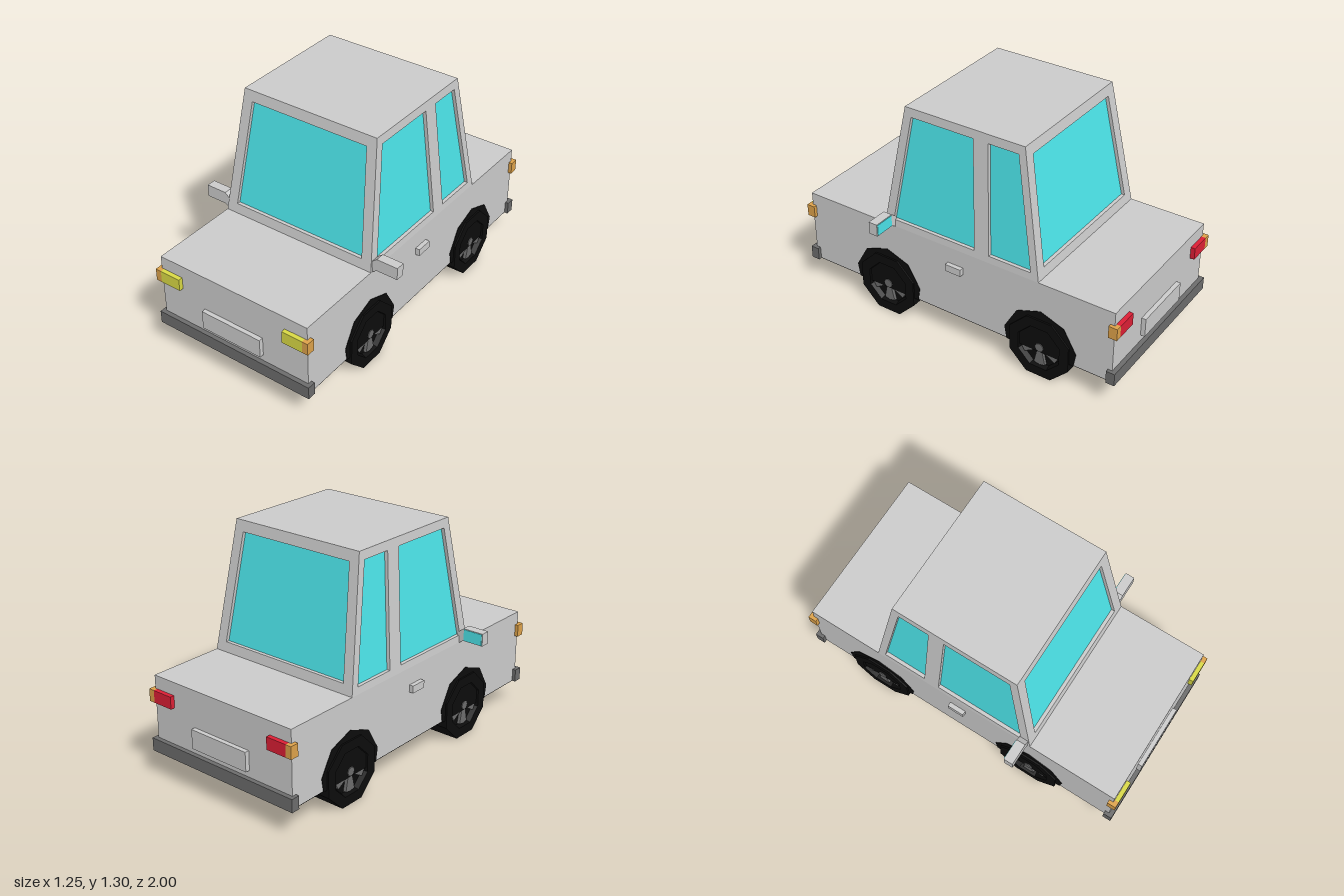
import * as THREE from 'three';

const mat = (color) => new THREE.MeshStandardMaterial({ color, flatShading: true, side: THREE.DoubleSide });

export function createModel() {
  const car = new THREE.Group();
  car.name = 'car';
  const grey = mat(0xcccccc), dark = mat(0x6c6c6c), black = mat(0x0c0c0c);
  const glass = mat(0x4ce4e9), yellow = mat(0xd9d945), orange = mat(0xdda24a), red = mat(0xdc1f35);

  const add = (name, geometry, material, parent = car) => {
    const mesh = new THREE.Mesh(geometry, material);
    mesh.name = name;
    parent.add(mesh);
    return mesh;
  };
  // Box given by its extents on each axis
  const box = (name, [x0, x1], [y0, y1], [z0, z1], material, parent) => {
    const g = new THREE.BoxGeometry(Math.abs(x1 - x0), y1 - y0, Math.abs(z1 - z0));
    g.translate((x0 + x1) / 2, (y0 + y1) / 2, (z0 + z1) / 2);
    return add(name, g, material, parent);
  };
  const polygon = (pts) => new THREE.Shape(pts.map(([x, y]) => new THREE.Vector2(x, y)));

  // Lower body
  box('body', [-0.475, 0.475], [0.155, 0.585], [-0.975, 0.975], grey);
  box('underside', [-0.473, 0.473], [0.15, 0.156], [-0.973, 0.973], black);

  // Cabin: four leaning panels with window openings and recessed glass
  const Y0 = 0.585, Y1 = 1.3;
  const panel = (name, outline, windows, base, top, turn) => {
    const lean = (g, offset) => {
      const p = g.attributes.position;
      for (let i = 0; i < p.count; i++) {
        const t = (p.getY(i) - Y0) / (Y1 - Y0);
        p.setZ(i, p.getZ(i) + THREE.MathUtils.lerp(base, top, t) - offset);
      }
      g.computeVertexNormals();
      return g.rotateY(turn);
    };
    const shape = polygon(outline);
    shape.holes = windows.map(polygon);
    add(name + 'Frame', lean(new THREE.ExtrudeGeometry(shape, { depth: 0.03, bevelEnabled: false }), 0.03), grey);
    windows.forEach((w) => add(name + 'Window', lean(new THREE.ShapeGeometry(polygon(w)), 0.02), glass));
  };
  const endOutline = [[-0.475, Y0], [0.475, Y0], [0.415, Y1], [-0.415, Y1]];
  const endWindow = [[-0.41, 0.64], [0.41, 0.64], [0.36, 1.24], [-0.36, 1.24]];
  panel('front', endOutline, [endWindow], 0.45, 0.325, 0);
  panel('rear', endOutline, [endWindow], 0.53, 0.405, Math.PI);

  const sideOutline = [[0.45, Y0], [-0.53, Y0], [-0.405, Y1], [0.325, Y1]];
  const sideWindows = [
    [[0.39, 0.625], [-0.135, 0.625], [-0.1, 1.25], [0.285, 1.25]],
    [[-0.225, 0.625], [-0.48, 0.625], [-0.37, 1.25], [-0.19, 1.25]],
  ];
  for (const s of [1, -1]) {
    const flip = (pts) => pts.map(([z, y]) => [-s * z, y]);
    panel(s > 0 ? 'left' : 'right', flip(sideOutline), sideWindows.map(flip), 0.475, 0.415, s * Math.PI / 2);
  }
  box('roof', [-0.415, 0.415], [1.28, Y1], [-0.405, 0.325], grey);

  // Bumpers, plates and lamps at both ends
  for (const e of [1, -1]) {
    const end = e > 0 ? 'front' : 'rear';
    const depth = [e * 0.95, e];
    box(end + 'Bumper', [-0.495, 0.495], [0.152, 0.226], depth, dark);
    box(end + 'Plate', [-0.19, 0.19], [0.265, 0.375], depth, grey);
    for (const s of [1, -1]) {
      box(end + 'Lamp', [s * 0.335, s * 0.46], [0.44, 0.51], depth, e > 0 ? yellow : red);
      box(end + 'Indicator', [s * 0.46, s * 0.495], [0.44, 0.51], depth, orange);
    }
  }

  // Door handles and wing mirrors
  for (const s of [1, -1]) {
    box('doorHandle', [s * 0.47, s * 0.5], [0.445, 0.487], [-0.062, 0.035], grey);
    const outline = polygon([[0.46, 0.572], [0.5, 0.6], [0.625, 0.6], [0.625, 0.672], [0.5, 0.672], [0.46, 0.638]]
      .map(([x, y]) => [s * x, y]));
    const housing = new THREE.ExtrudeGeometry(outline, { depth: 0.053, bevelEnabled: false });
    add('wingMirror', housing.translate(0, 0, 0.382), grey);
    box('mirrorGlass', [s * 0.505, s * 0.62], [0.604, 0.668], [0.379, 0.384], glass);
  }

  // Wheels: eight-sided tyre with a recessed five-spoke rim, facing +x
  const R = 0.18 / Math.cos(Math.PI / 8);
  const tyre = new THREE.LatheGeometry(
    [[0, -0.1], [R, -0.1], [R, 0.1], [0.135, 0.1], [0.125, 0.07], [0, 0.07]].map(([x, y]) => new THREE.Vector2(x, y)),
    8, Math.PI / 8).rotateZ(-Math.PI / 2);
  const spoke = new THREE.ExtrudeGeometry(
    polygon([[-0.01, 0], [0.01, 0], [0.034, -0.108], [0, -0.115], [-0.034, -0.108]]),
    { depth: 0.02, bevelEnabled: false });
  const hub = new THREE.CylinderGeometry(0.026, 0.026, 0.03, 8).rotateZ(Math.PI / 2).translate(0.08, 0, 0);
  // Nine-sided wheel arch, cut off at the sill
  const archPoints = [-22, 10, 50, 90, 130, 170, 202].map((deg) => {
    const a = THREE.MathUtils.degToRad(deg);
    return [0.222 * Math.cos(a), Math.max(0.19 + 0.222 * Math.sin(a), 0.15)];
  });
  const arch = new THREE.ExtrudeGeometry(polygon(archPoints), { depth: 0.01, bevelEnabled: false });

  for (const [axle, z] of [['front', 0.45], ['rear', -0.545]]) {
    for (const s of [1, -1]) {
      const wheel = new THREE.Group();
      wheel.name = axle + 'Wheel';
      wheel.position.set(s * 0.388, 0.18, z);
      wheel.rotation.y = s > 0 ? 0 : Math.PI;
      add('tyre', tyre, black, wheel);
      add('hub', hub, dark, wheel);
      for (let i = 0; i < 5; i++) {
        const g = spoke.clone().rotateZ(i * Math.PI * 2 / 5).rotateY(Math.PI / 2).translate(0.068, 0, 0);
        add('spoke', g, dark, wheel);
      }
      car.add(wheel);
      const rim = add(axle + 'WheelArch', arch, black);
      rim.rotation.y = s * Math.PI / 2;
      rim.position.set(s * 0.468, 0, z);
    }
  }
  return car;
}
